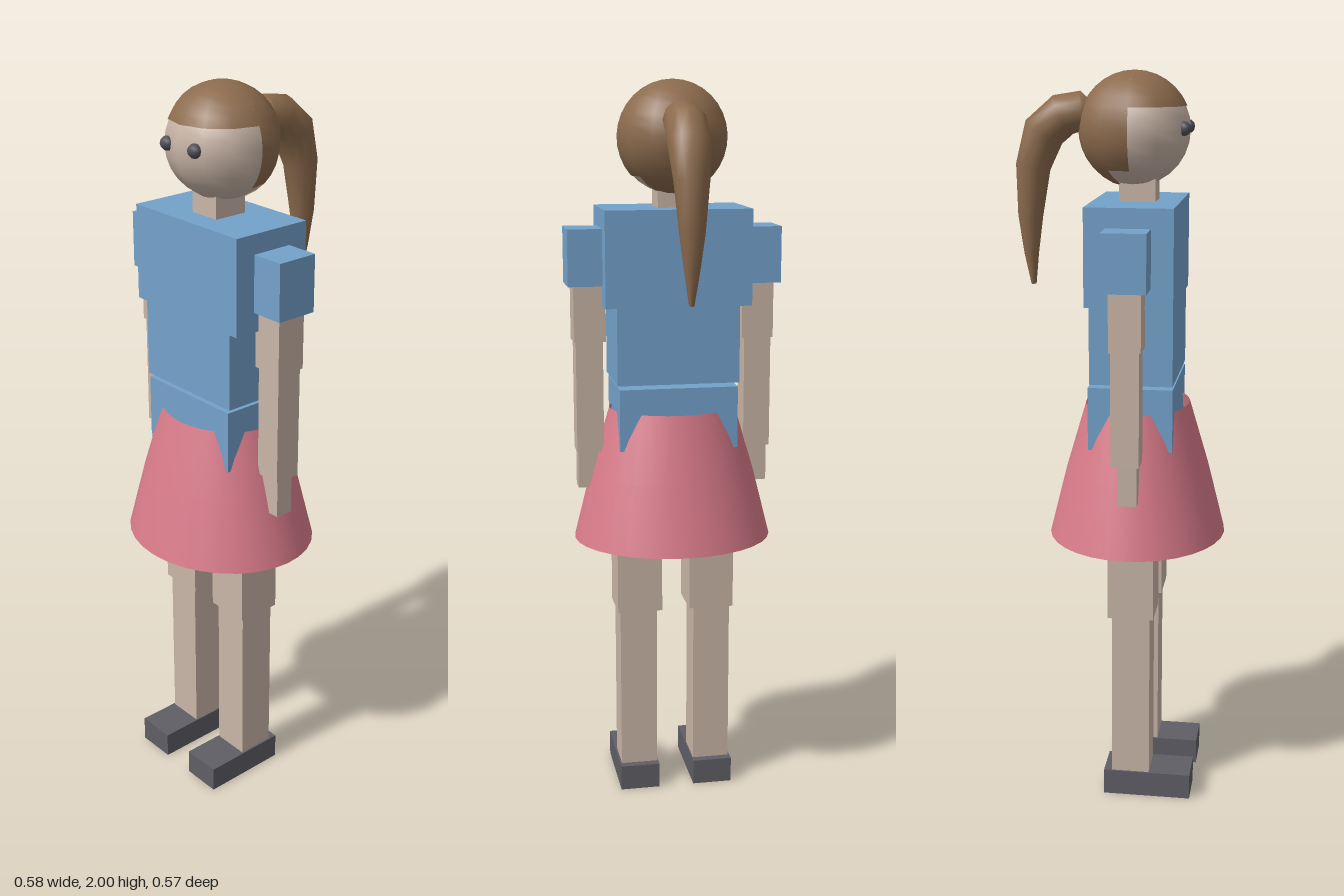
import * as THREE from 'three';

const mat = (name, color, side = THREE.FrontSide) => {
  const m = new THREE.MeshStandardMaterial({ color, side });
  m.name = name;
  return m;
};

export function createModel() {
  const skin = mat('skin', 0xc9b5a7);
  const blue = mat('shirtBlue', 0x74a2cb);
  const pink = mat('skirtPink', 0xd97b8a, THREE.DoubleSide);
  const brown = mat('hairBrown', 0x8c6b4d, THREE.DoubleSide);
  const shoe = mat('shoeGrey', 0x5f5e65);
  const eyeDark = mat('eyeGrey', 0x505058);

  const model = new THREE.Group();
  model.name = 'girl';
  const add = (name, geometry, material, parent = model) => {
    const mesh = new THREE.Mesh(geometry, material);
    mesh.name = name;
    parent.add(mesh);
    return mesh;
  };
  // Box given by its extents on each axis
  const box = (name, material, [x0, x1], [y0, y1], [z0, z1]) => {
    const mesh = add(name, new THREE.BoxGeometry(x1 - x0, y1 - y0, z1 - z0), material);
    mesh.position.set((x0 + x1) / 2, (y0 + y1) / 2, (z0 + z1) / 2);
  };
  // Same box on both sides of the body
  const pair = (name, material, [x0, x1], y, z) => {
    box('left' + name, material, [x0, x1], y, z);
    box('right' + name, material, [-x1, -x0], y, z);
  };

  // Torso
  box('chest', blue, [-0.198, 0.198], [1.41, 1.667], [-0.071, 0.161]);
  box('waist', blue, [-0.167, 0.167], [1.2, 1.41], [-0.063, 0.158]);
  box('hips', blue, [-0.162, 0.162], [1.02, 1.19], [-0.068, 0.158]);
  box('neck', skin, [-0.046, 0.046], [1.66, 1.76], [0, 0.096]);

  // Arms
  pair('Sleeve', blue, [0.198, 0.291], [1.463, 1.615], [-0.014, 0.103]);
  pair('UpperArm', skin, [0.188, 0.275], [1.31, 1.463], [0.004, 0.088]);
  pair('Forearm', skin, [0.196, 0.27], [1.005, 1.31], [0.009, 0.083]);
  pair('Hand', skin, [0.202, 0.266], [0.9, 1.005], [0.027, 0.077]);

  // Legs
  pair('Thigh', skin, [0.039, 0.165], [0.54, 1.02], [-0.016, 0.11]);
  pair('Shin', skin, [0.053, 0.157], [0.07, 0.54], [-0.005, 0.1]);
  pair('Shoe', shoe, [0.05, 0.162], [0, 0.072], [-0.028, 0.216]);

  // Skirt: open flared lathe, a little narrower front to back
  const skirt = new THREE.LatheGeometry(
    [[0.276, 0.75], [0.229, 0.937], [0.175, 1.12]].map(p => new THREE.Vector2(...p)), 32);
  const p = skirt.attributes.position;
  for (let i = 0; i < p.count; i++) {
    const r = Math.hypot(p.getX(i), p.getZ(i));
    p.setZ(i, p.getZ(i) * (r - 0.033) / r);
  }
  skirt.computeVertexNormals();
  add('skirt', skirt, pink).position.z = 0.046;

  // Head with hair shells just outside it
  const head = new THREE.Group();
  head.name = 'head';
  head.position.set(0, 1.85, 0.035);
  model.add(head);
  const PI = Math.PI, fringe = 1.159, nape = 2.3;
  add('face', new THREE.SphereGeometry(0.147, 12, 14), skin, head);
  add('hairFront', new THREE.SphereGeometry(0.15, 6, 6, 0, PI, 0, fringe), brown, head);
  add('hairBack', new THREE.SphereGeometry(0.15, 6, 12, PI, PI, 0, nape), brown, head);
  add('hairNape', new THREE.SphereGeometry(0.15, 4, 4, PI * 7 / 6, PI * 2 / 3, nape, PI - nape), brown, head);
  for (const s of [1, -1]) {
    const eye = add(s > 0 ? 'leftEye' : 'rightEye', new THREE.SphereGeometry(0.019, 8, 6), eyeDark, head);
    eye.position.set(s * 0.053, 0.005, 0.134);
  }

  // Ponytail: round cross-sections [y, z, radius] along a drooping curve
  const rings = [
    [1.895, -0.075, 0.034], [1.895, -0.095, 0.036], [1.897, -0.1, 0.05], [1.885, -0.155, 0.056],
    [1.84, -0.207, 0.057], [1.75, -0.237, 0.047], [1.62, -0.246, 0.034],
    [1.52, -0.245, 0.02], [1.437, -0.24, 0.007],
  ];
  const n = 12, pos = [], idx = [];
  rings.forEach(([y, z, r], i) => {
    const a = rings[Math.max(i - 1, 0)], b = rings[Math.min(i + 1, rings.length - 1)];
    const len = Math.hypot(b[0] - a[0], b[1] - a[1]);
    const ty = (b[0] - a[0]) / len, tz = (b[1] - a[1]) / len;
    for (let j = 0; j < n; j++) {
      const t = j / n * 2 * PI, k = r * Math.sin(t);
      pos.push(r * Math.cos(t), y - tz * k, z + ty * k);
      if (i) {
        const c = i * n + j, d = i * n + (j + 1) % n;
        idx.push(c - n, d - n, c, d - n, d, c);
      }
    }
  });
  // Close the tip
  const last = (rings.length - 1) * n;
  for (let j = 1; j < n - 1; j++) idx.push(last, last + j, last + j + 1);
  const tail = new THREE.BufferGeometry();
  tail.setAttribute('position', new THREE.Float32BufferAttribute(pos, 3));
  tail.setIndex(idx);
  tail.computeVertexNormals();
  add('ponytail', tail, brown);

  return model;
}
